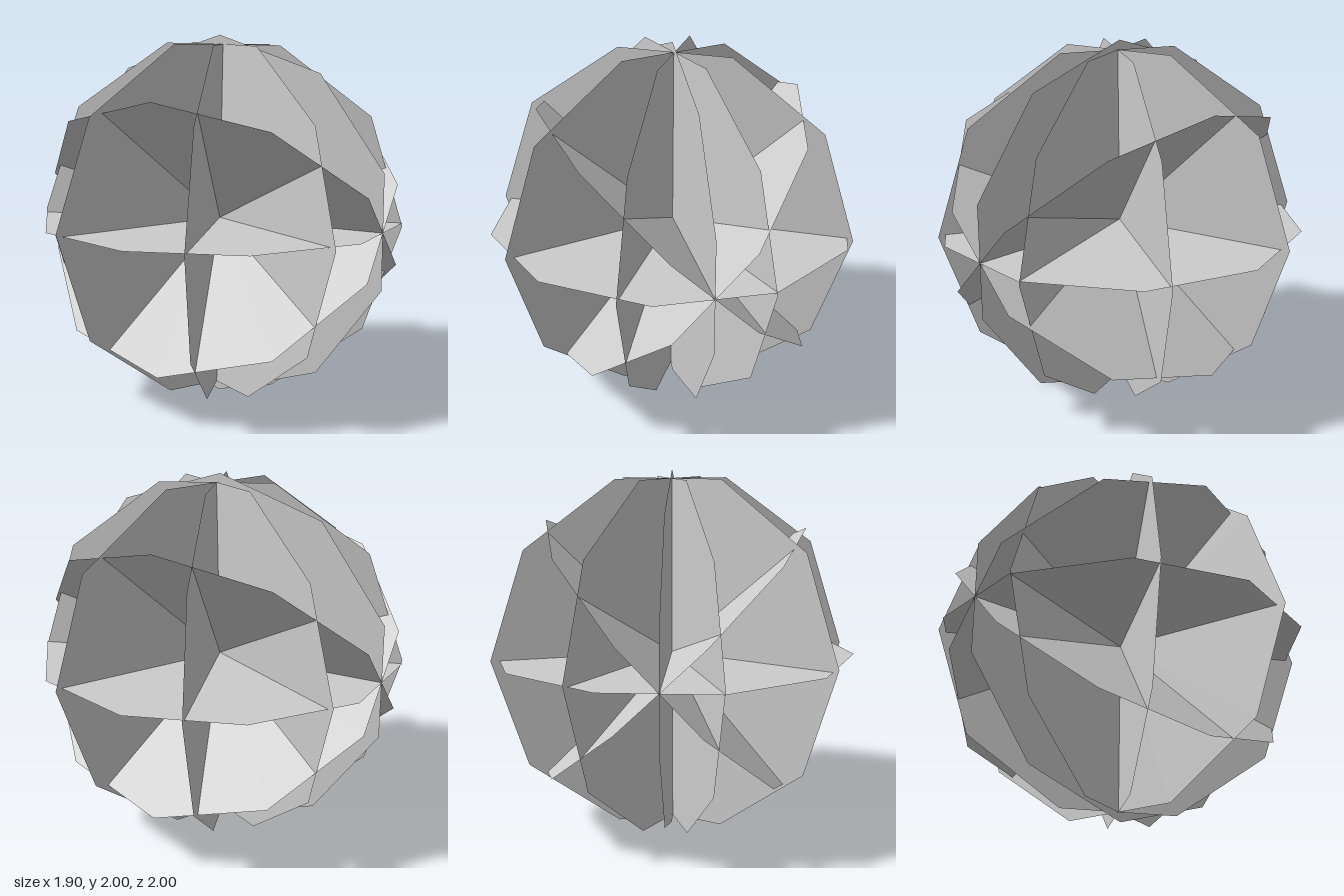
import * as THREE from 'three';

const DEG = Math.PI / 180;
const SPACING = [0, 43.6, 90, 133.6]; // turn of each disc about the shared axis

// Four ten-sided discs crossing along the fan's local y axis
function discFan(name, startAngle, material) {
  const fan = new THREE.Group();
  fan.name = name;
  const geometry = new THREE.CircleGeometry(1, 10);
  SPACING.forEach((angle, i) => {
    const disc = new THREE.Mesh(geometry, material);
    disc.name = `${name}Disc${i + 1}`;
    disc.rotation.y = -(startAngle + angle) * DEG;
    fan.add(disc);
  });
  fan.position.y = 1;
  return fan;
}

export function createModel() {
  const model = new THREE.Group();
  model.name = 'discBall';
  const material = new THREE.MeshStandardMaterial({
    color: 0xcccccc, flatShading: true, side: THREE.DoubleSide,
  });

  // Fan crossing along the x axis
  const sideFan = discFan('sideFan', 0, material);
  sideFan.rotation.z = -Math.PI / 2;

  // Fan crossing along a nearly upright axis, leaning very slightly
  const uprightFan = discFan('uprightFan', 28.1, material);
  uprightFan.rotation.set(-0.006, 0, -0.018);

  model.add(sideFan, uprightFan);
  return model;
}
